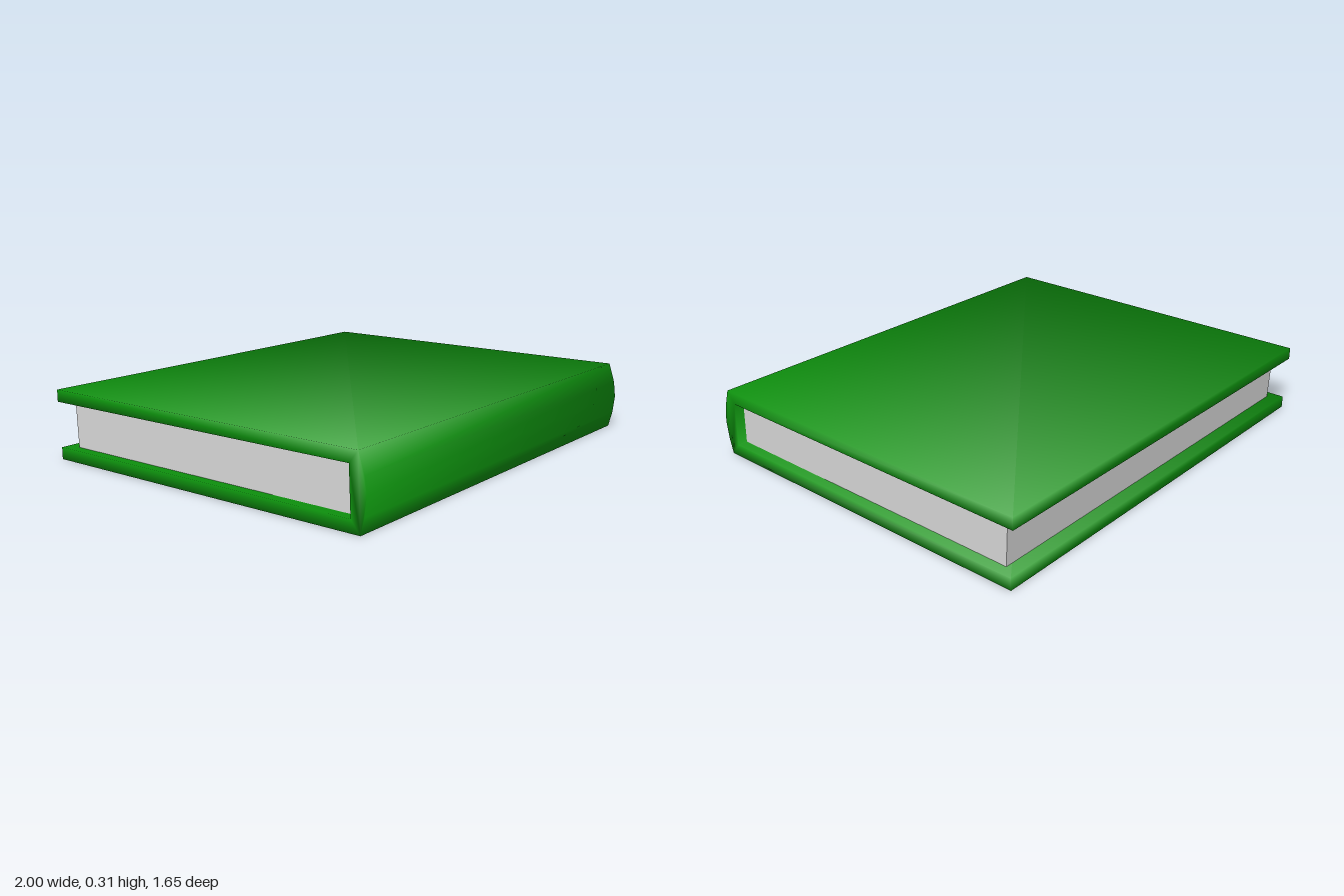
import * as THREE from 'three';
import { mergeVertices } from 'three/addons/utils/BufferGeometryUtils.js';

// Extrude a side profile of [z, y] points along x, centred on x = 0
function extrudeProfile(points, length) {
  const shape = new THREE.Shape(points.map(([z, y]) => new THREE.Vector2(-z, y)));
  const geometry = new THREE.ExtrudeGeometry(shape, { depth: length, bevelEnabled: false });
  return geometry.translate(0, 0, -length / 2).rotateY(Math.PI / 2);
}

// Share corners and give each one an angle-weighted normal
function smoothCorners(source) {
  source.deleteAttribute('normal');
  source.deleteAttribute('uv');
  const geometry = mergeVertices(source, 1e-4);
  geometry.clearGroups();
  const position = geometry.attributes.position;
  const index = geometry.index;
  const normals = Array.from({ length: position.count }, () => new THREE.Vector3());
  for (let i = 0; i < index.count; i += 3) {
    const ids = [0, 1, 2].map((k) => index.getX(i + k));
    const p = ids.map((id) => new THREE.Vector3().fromBufferAttribute(position, id));
    const face = new THREE.Triangle(...p).getNormal(new THREE.Vector3());
    ids.forEach((id, k) => {
      const a = p[(k + 1) % 3].clone().sub(p[k]);
      const b = p[(k + 2) % 3].clone().sub(p[k]);
      normals[id].addScaledVector(face, a.angleTo(b));
    });
  }
  const flat = normals.flatMap((n) => n.normalize().toArray());
  geometry.setAttribute('normal', new THREE.Float32BufferAttribute(flat, 3));
  return geometry;
}

export function createModel() {
  const coverGreen = new THREE.MeshStandardMaterial({ name: 'coverGreen', color: 0x0f9a0f });
  const pageGrey = new THREE.MeshStandardMaterial({ name: 'pageGrey', color: 0xd8d8d8 });
  const book = new THREE.Group();
  book.name = 'book';

  // Two boards joined by a rounded spine
  const coverProfile = [
    [-0.815, 0], [0.8, 0], [0.818, 0.07], [0.827, 0.15], [0.818, 0.22], [0.79, 0.306],
    [-0.825, 0.306], [-0.825, 0.253], [0.75, 0.253], [0.757, 0.053], [-0.815, 0.053],
  ];
  const cover = new THREE.Mesh(smoothCorners(extrudeProfile(coverProfile, 2)), coverGreen);
  cover.name = 'cover';

  // Page block, set back from the edges of the boards
  const pageProfile = [[-0.755, 0.053], [0.757, 0.053], [0.75, 0.253], [-0.762, 0.253]];
  const pages = new THREE.Mesh(extrudeProfile(pageProfile, 1.91), pageGrey);
  pages.name = 'pages';

  book.add(cover, pages);
  return book;
}
